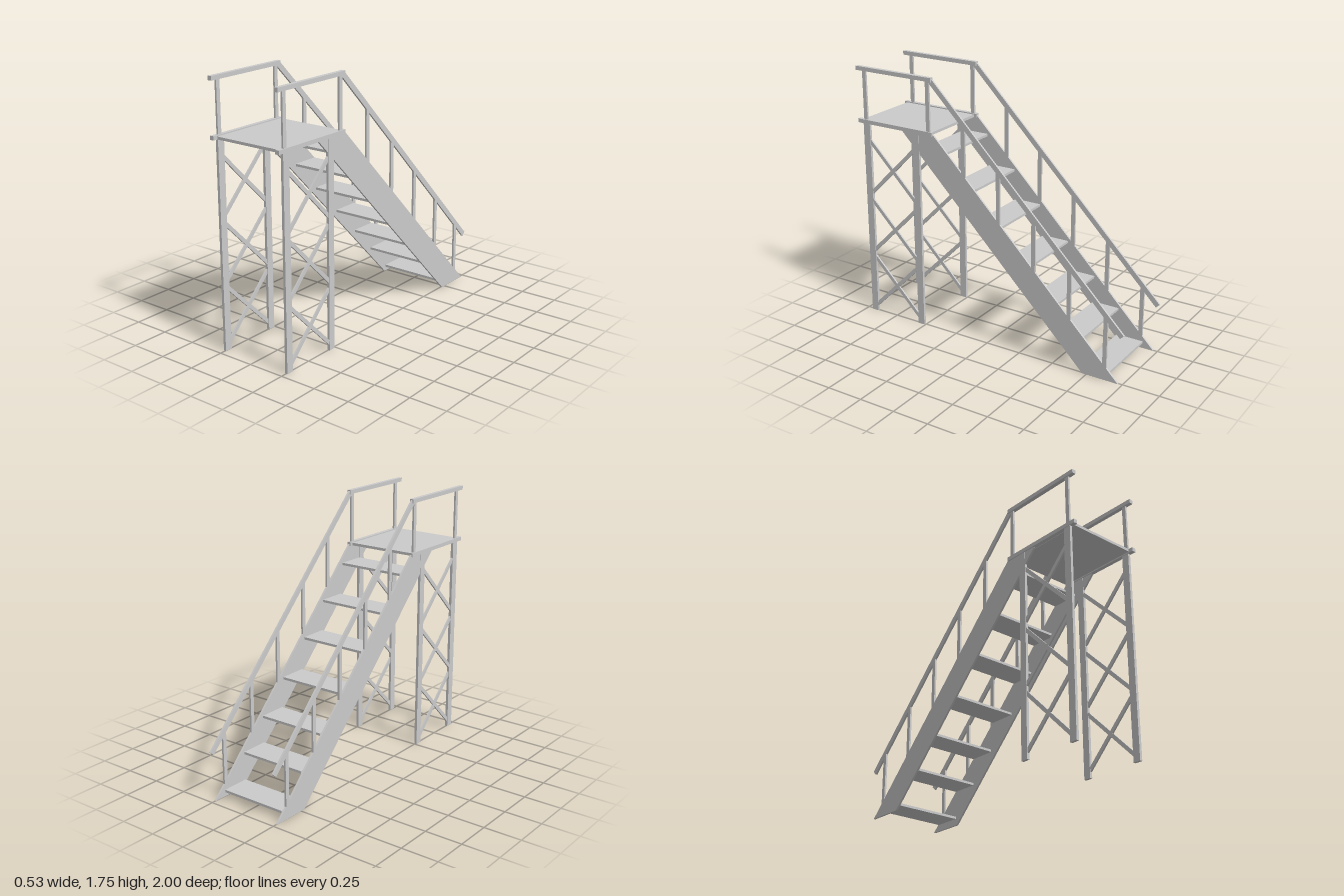
import * as THREE from 'three';

const material = new THREE.MeshStandardMaterial({ color: 0xcccccc, flatShading: true });
const SIDE_X = 0.252;

// Flat part cut from a side outline of [z, y] points, with a given width in x
function slab(name, points, width, x) {
  const shape = new THREE.Shape(points.map(([z, y]) => new THREE.Vector2(-z, y)));
  const geometry = new THREE.ExtrudeGeometry(shape, { depth: width, bevelEnabled: false });
  geometry.rotateY(Math.PI / 2).translate(x - width / 2, 0, 0);
  const mesh = new THREE.Mesh(geometry, material);
  mesh.name = name;
  return mesh;
}

// Box given by its z and y ranges
function block(name, z0, z1, y0, y1, width, x = 0) {
  const mesh = new THREE.Mesh(new THREE.BoxGeometry(width, y1 - y0, z1 - z0), material);
  mesh.position.set(x, (y0 + y1) / 2, (z0 + z1) / 2);
  mesh.name = name;
  return mesh;
}

function createSide(name, x) {
  const side = new THREE.Group();
  side.name = name;

  // Sloping stair side, cut level at floor and platform
  side.add(slab('stringer', [[-0.97, 0], [-0.72, 0], [0.64, 1.36], [0.62, 1.387], [0.41, 1.387]], 0.013, x));

  // Platform edge and level handrail
  side.add(block('platformEdge', 0.4, 1, 1.364, 1.39, 0.027, x));
  side.add(block('levelHandrail', 0.4, 1, 1.718, 1.745, 0.027, x));
  for (const z of [0.94, 0.435]) {
    side.add(block('platformPost', z - 0.014, z + 0.014, 1.38, 1.725, 0.013, x));
  }

  // Sloping handrail with square-cut lower end
  side.add(slab('slopingHandrail', [[-1, 0.338], [-0.974, 0.314], [0.43, 1.718], [0.405, 1.743]], 0.013, x));

  // Stair posts, cut to the slope at both ends
  for (let i = 0; i < 5; i++) {
    const a = 0.167 - i * 0.26 - 0.014, b = a + 0.028;
    side.add(slab('stairPost', [[a, a + 0.97], [b, b + 0.97], [b, b + 1.288], [a, a + 1.288]], 0.013, x));
  }

  // Trestle legs
  side.add(block('frontLeg', 0.908, 0.959, 0, 1.37, 0.018, x));
  side.add(block('rearLeg', 0.508, 0.557, 0, 1.37, 0.018, x));

  // Crossed braces between the legs
  for (const y of [0.23, 0.645, 1.065]) {
    for (const dir of [1, -1]) {
      const brace = block('crossBrace', -0.258, 0.258, -0.0125, 0.0125, 0.011);
      brace.position.set(x, y, 0.733);
      brace.rotation.x = dir * Math.PI / 4;
      side.add(brace);
    }
  }
  return side;
}

export function createModel() {
  const model = new THREE.Group();
  model.name = 'platformStairs';
  model.add(createSide('leftSide', SIDE_X), createSide('rightSide', -SIDE_X));

  // Platform deck
  model.add(block('platform', 0.415, 0.975, 1.367, 1.385, 0.464));

  // Open treads: [rear z, centre y]
  const treads = [[-0.9, 0.046], [-0.715, 0.238], [-0.53, 0.424], [-0.325, 0.627],
    [-0.108, 0.842], [0.093, 1.05], [0.305, 1.26]];
  for (const [z, y] of treads) {
    model.add(block('tread', z, z + 0.187, y - 0.008, y + 0.008, 0.464));
  }
  return model;
}
